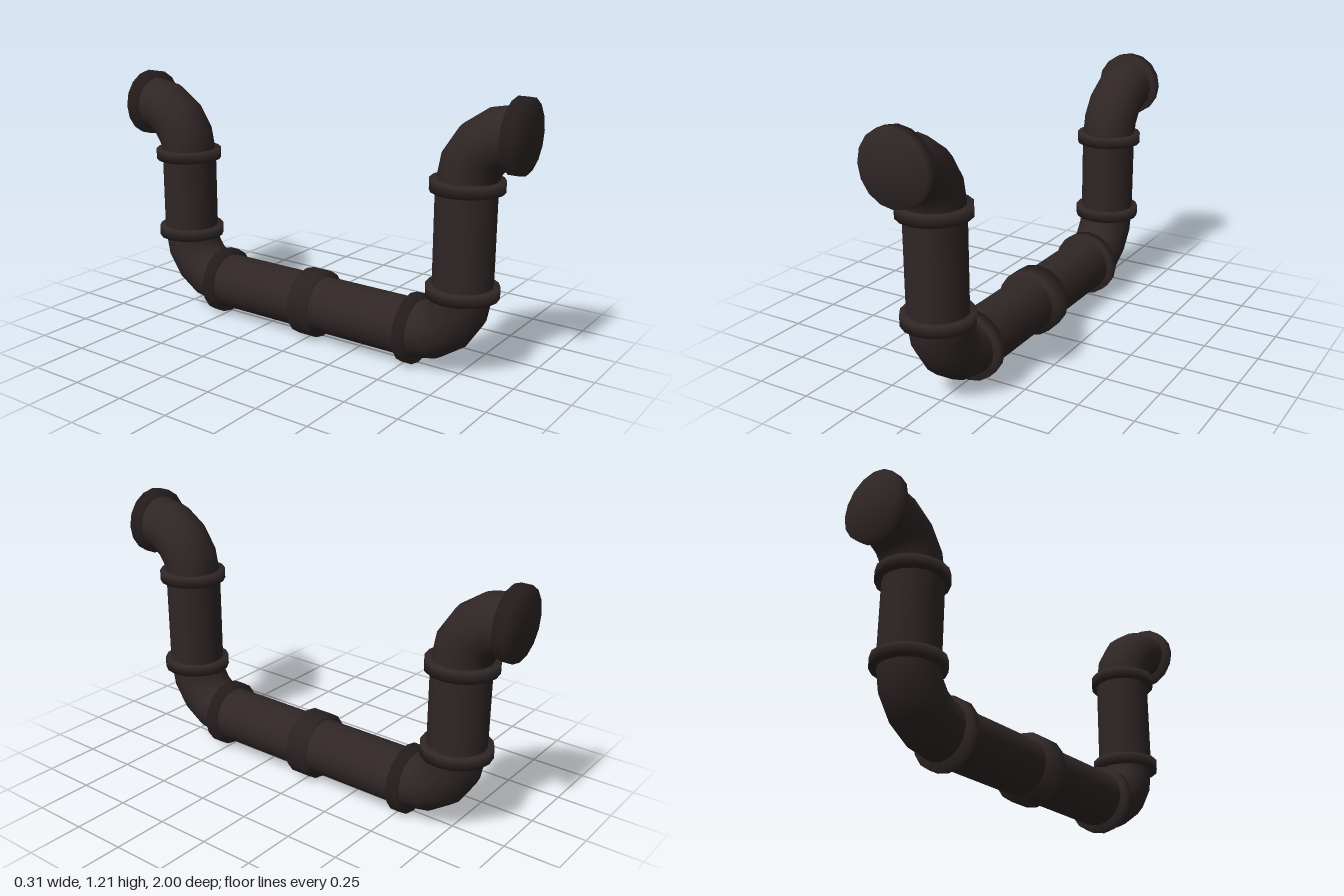
import * as THREE from 'three';
import { mergeVertices } from 'three/addons/utils/BufferGeometryUtils.js';

const SIDES = 16;
const PIPE = 0.128;   // pipe radius
const COLLAR = 0.155; // flange radius
const BEND = 0.222;   // elbow centre-line radius
const LEG_Z = 0.749, BASE_Y = 0.157;

export function createModel() {
  const group = new THREE.Group();
  const iron = new THREE.MeshStandardMaterial({ color: 0x302626 });
  iron.name = 'dark brown iron';

  const add = (name, geometry, y, z) => {
    const mesh = new THREE.Mesh(geometry, iron);
    mesh.name = name;
    mesh.position.set(0, y, z);
    group.add(mesh);
  };

  // straight run of pipe, along y or z
  const pipe = (name, length, y, z, alongZ) => {
    const g = new THREE.CylinderGeometry(PIPE, PIPE, length, SIDES, 1, true);
    if (alongZ) g.rotateX(Math.PI / 2);
    add(name, g, y, z);
  };

  // disc with normals shared across its rims, for soft shading
  const flange = (name, thickness, y, z, alongZ) => {
    let g = new THREE.CylinderGeometry(COLLAR, COLLAR, thickness, SIDES);
    g.deleteAttribute('uv');
    g.deleteAttribute('normal');
    g = mergeVertices(g, 1e-4);
    g.computeVertexNormals();
    if (alongZ) g.rotateX(Math.PI / 2);
    add(name, g, y, z);
  };

  // quarter bend; turn 0 fills the +z +y quadrant around its centre
  const elbow = (name, y, z, turn) => {
    const g = new THREE.TorusGeometry(BEND, PIPE, SIDES, 4, Math.PI / 2);
    g.rotateY(-Math.PI / 2).rotateX(turn * Math.PI / 2);
    add(name, g, y, z);
  };

  // bottom run
  const runEnd = LEG_Z - BEND, legBottom = BASE_Y + BEND;
  pipe('basePipe', 2 * runEnd, BASE_Y, 0, true);
  flange('centreCoupling', 0.098, BASE_Y, 0, true);

  // front and back risers, the front one slightly taller
  const risers = [
    { label: 'front', s: 1, top: 0.83, lowTurn: 1, highTurn: -1 },
    { label: 'back', s: -1, top: 0.762, lowTurn: 2, highTurn: 0 },
  ];
  for (const { label, s, top, lowTurn, highTurn } of risers) {
    const capY = top + BEND + 0.003;
    flange(label + 'BaseFlange', 0.048, BASE_Y, s * runEnd, true);
    elbow(label + 'LowerElbow', legBottom, s * runEnd, lowTurn);
    flange(label + 'LowerFlange', 0.049, legBottom, s * LEG_Z, false);
    pipe(label + 'Riser', top - legBottom, (top + legBottom) / 2, s * LEG_Z, false);
    flange(label + 'UpperFlange', 0.049, top, s * (LEG_Z + 0.003), false);
    elbow(label + 'UpperElbow', top, s * (LEG_Z + BEND), highTurn);
    flange(label + 'EndCap', 0.049, capY, s * 0.9755, true);
  }
  return group;
}
